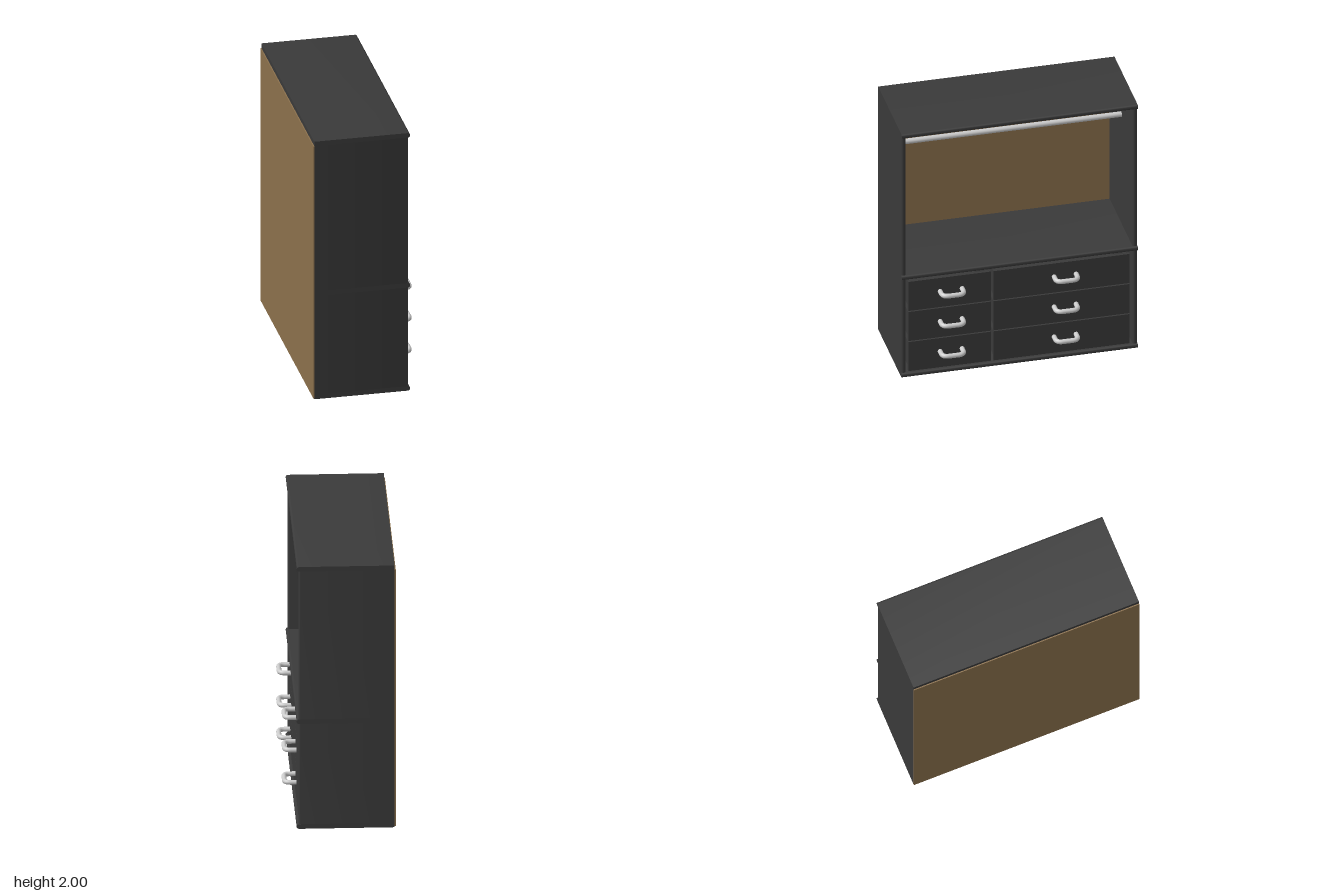
import * as THREE from 'three';
import { toCreasedNormals } from 'three/addons/utils/BufferGeometryUtils.js';

const dark = new THREE.MeshStandardMaterial({ color: 0x3a3a3a });
const wood = new THREE.MeshStandardMaterial({ color: 0x8b704c });
const metal = new THREE.MeshStandardMaterial({ color: 0xcccccc });

const T = 0.035;      // board thickness
const W = 0.86;       // half width along z
const BACK = -0.38;   // rear edge of the boards

function add(parent, name, geometry, material, x = 0, y = 0, z = 0) {
  const mesh = new THREE.Mesh(geometry, material);
  mesh.name = name;
  mesh.position.set(x, y, z);
  parent.add(mesh);
  return mesh;
}

// Board with a half-round edge at its +x end, extruded along z and centred
function boardGeometry(front, length) {
  const r = T / 2;
  const s = new THREE.Shape();
  s.moveTo(BACK, -r);
  s.lineTo(front - r, -r);
  s.absarc(front - r, 0, r, -Math.PI / 2, Math.PI / 2, false);
  s.lineTo(BACK, r);
  s.closePath();
  const g = new THREE.ExtrudeGeometry(s, { depth: length, bevelEnabled: false, curveSegments: 10 });
  g.translate(0, 0, -length / 2);
  return toCreasedNormals(g, 0.6);
}

// Bow handle: two feet, rounded corners and a grip
function handleGeometry() {
  const v = (x, z) => new THREE.Vector3(x, 0, z);
  const h = 0.08, out = 0.09, c = 0.045;
  const path = new THREE.CurvePath();
  path.add(new THREE.LineCurve3(v(-0.01, h), v(out - c, h)));
  path.add(new THREE.QuadraticBezierCurve3(v(out - c, h), v(out, h), v(out, h - c)));
  path.add(new THREE.LineCurve3(v(out, h - c), v(out, c - h)));
  path.add(new THREE.QuadraticBezierCurve3(v(out, c - h), v(out, -h), v(out - c, -h)));
  path.add(new THREE.LineCurve3(v(out - c, -h), v(-0.01, -h)));
  return new THREE.TubeGeometry(path, 48, 0.0175, 14);
}

// Open-topped drawer with its handle; the front face lies at x = 0
function makeDrawer(width, height, handleZ, handleY) {
  const drawer = new THREE.Group();
  drawer.name = 'drawer';
  const t = 0.02, depth = 0.6, wall = height - 0.05, w = width - 0.02;
  add(drawer, 'drawerFront', new THREE.BoxGeometry(t, height, width), dark, -t / 2, 0, 0);
  add(drawer, 'drawerBottom', new THREE.BoxGeometry(depth, t, w), dark, -t - depth / 2, -wall / 2, 0);
  add(drawer, 'drawerBack', new THREE.BoxGeometry(t, wall, w), dark, -depth, 0, 0);
  for (const s of [-1, 1])
    add(drawer, 'drawerSide', new THREE.BoxGeometry(depth, wall, t), dark, -t - depth / 2, 0, s * (w - t) / 2);
  add(drawer, 'handle', handleGeometry(), metal, -0.016 + 0.0095, handleY, handleZ);
  return drawer;
}

export function createModel() {
  const model = new THREE.Group();
  model.name = 'wardrobe';

  // Horizontal boards
  const shelf = boardGeometry(0.314, 2 * W);
  const levels = [T / 2, 0.818, 2 - T / 2];
  ['bottomBoard', 'middleShelf', 'topBoard'].forEach((name, i) => add(model, name, shelf, dark, 0, levels[i], 0));

  // Side panels, below and above the middle shelf
  for (let i = 0; i < 2; i++) {
    const low = levels[i] + T / 2, high = levels[i + 1] - T / 2;
    const panel = boardGeometry(0.3, high - low);
    for (const s of [-1, 1])
      add(model, 'sidePanel', panel, dark, 0, (low + high) / 2, s * (W - T / 2)).rotation.x = -Math.PI / 2;
  }

  // Thin wooden back
  add(model, 'backPanel', new THREE.BoxGeometry(0.008, 1.957, 2 * W), wood, BACK - 0.004, 0.008 + 1.957 / 2, 0);

  // Hanging rail
  add(model, 'hangingRail', new THREE.CylinderGeometry(0.02, 0.02, 2 * (W - T), 24), metal, -0.035, 1.732, 0)
    .rotation.x = Math.PI / 2;

  // Two columns of three drawers
  const columns = [{ z0: 0.207, z1: 0.808, handle: 0.497 }, { z0: -0.803, z1: 0.187, handle: -0.333 }];
  for (const { z0, z1, handle } of columns) {
    for (let row = 0; row < 3; row++) {
      const y = 0.16 + row * 0.2475;
      const mid = (z0 + z1) / 2;
      const drawer = makeDrawer(z1 - z0, 0.239, handle - mid, 0.013);
      drawer.position.set(0.295, y, mid);
      model.add(drawer);
    }
  }
  return model;
}
